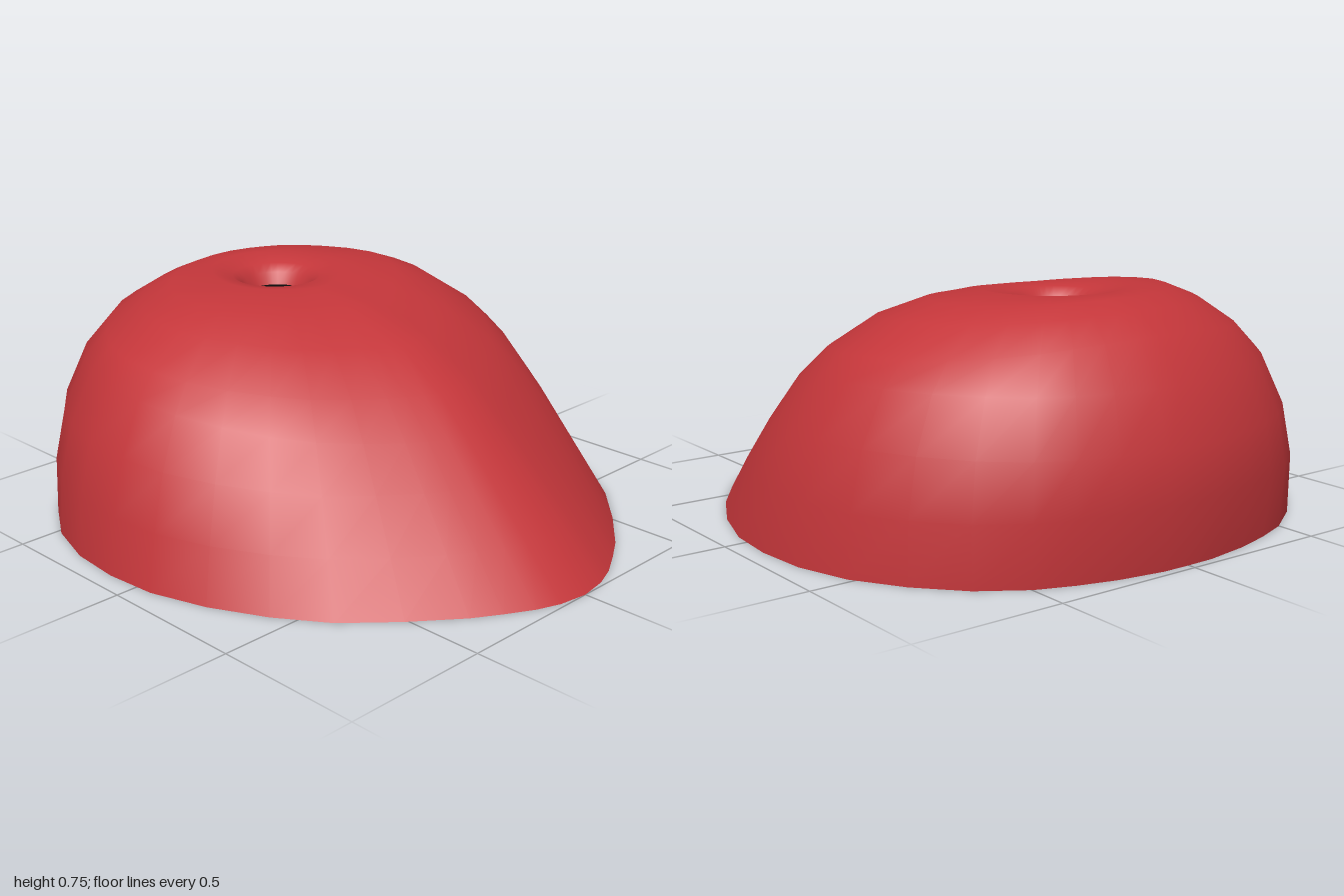
import * as THREE from 'three';

// Centre of the dimple, around which the shell is swept
const CZ = -0.36;

// Half of the plan outline [x, z], front tip to back
const HALF = [
  [0, 1], [0.1, 0.985], [0.18, 0.955], [0.27, 0.905], [0.36, 0.85], [0.51, 0.73],
  [0.66, 0.59], [0.77, 0.43], [0.86, 0.25], [0.92, 0.06], [0.935, -0.12],
  [0.92, -0.3], [0.865, -0.48], [0.77, -0.64], [0.65, -0.78], [0.51, -0.88],
  [0.39, -0.93], [0.26, -0.97], [0.1, -0.998], [0, -1],
];

// Meridians from base to crown: [fraction of outline radius, height]
const FRONT = [[1, 0], [0.89, 0.145], [0.78, 0.29], [0.69, 0.41], [0.6, 0.52], [0.47, 0.63], [0.3, 0.705], [0.17, 0.735]];
const SIDE = [[1, 0], [0.98, 0.19], [0.925, 0.37], [0.83, 0.53], [0.75, 0.6], [0.6, 0.69], [0.47, 0.735], [0.26, 0.752]];
const BACK = [[0.96, 0], [1, 0.2], [0.977, 0.36], [0.875, 0.53], [0.725, 0.66], [0.565, 0.72], [0.455, 0.75], [0.34, 0.755]];

// Dimple rings: [radius, height]
const DIMPLE = [[0.15, 0.73], [0.118, 0.705], [0.1, 0.665]];

function shellGeometry() {
  const outline = [...HALF, ...HALF.slice(1, -1).reverse().map(([x, z]) => [-x, z])];
  const n = outline.length;
  const rings = FRONT.length + DIMPLE.length;
  const positions = [];
  const index = [];

  for (let r = 0; r < rings; r++) {
    for (const [x, z] of outline) {
      const radius = Math.hypot(x, z - CZ);
      const dx = x / radius;
      const dz = (z - CZ) / radius;
      let d, y;
      if (r < FRONT.length) {
        // Blend the side meridian towards the front or back one
        const end = dz > 0 ? FRONT[r] : BACK[r];
        const w = Math.pow(Math.abs(dz), 1.5);
        d = radius * THREE.MathUtils.lerp(SIDE[r][0], end[0], w);
        y = THREE.MathUtils.lerp(SIDE[r][1], end[1], w);
      } else {
        [d, y] = DIMPLE[r - FRONT.length];
      }
      positions.push(dx * d, y, CZ + dz * d);
    }
  }
  for (let r = 0; r < rings - 1; r++) {
    for (let i = 0; i < n; i++) {
      const j = (i + 1) % n;
      const a = r * n + i, b = r * n + j, c = a + n, e = b + n;
      index.push(a, b, e, a, e, c);
    }
  }
  const geometry = new THREE.BufferGeometry();
  geometry.setAttribute('position', new THREE.Float32BufferAttribute(positions, 3));
  geometry.setIndex(index);
  geometry.computeVertexNormals();
  return geometry;
}

export function createModel() {
  const group = new THREE.Group();
  group.name = 'domeShell';

  // Open-bottomed shell with a sloping front
  const shell = new THREE.Mesh(
    shellGeometry(),
    new THREE.MeshStandardMaterial({ color: 0xc4363a, side: THREE.DoubleSide }),
  );
  shell.name = 'shell';
  group.add(shell);

  // Dark plug at the bottom of the dimple
  const plug = new THREE.Mesh(
    new THREE.CircleGeometry(0.1, 32),
    new THREE.MeshStandardMaterial({ color: 0x0a0a0a, side: THREE.DoubleSide }),
  );
  plug.name = 'dimplePlug';
  plug.rotation.x = -Math.PI / 2;
  plug.position.set(0, 0.665, CZ);
  group.add(plug);

  return group;
}
